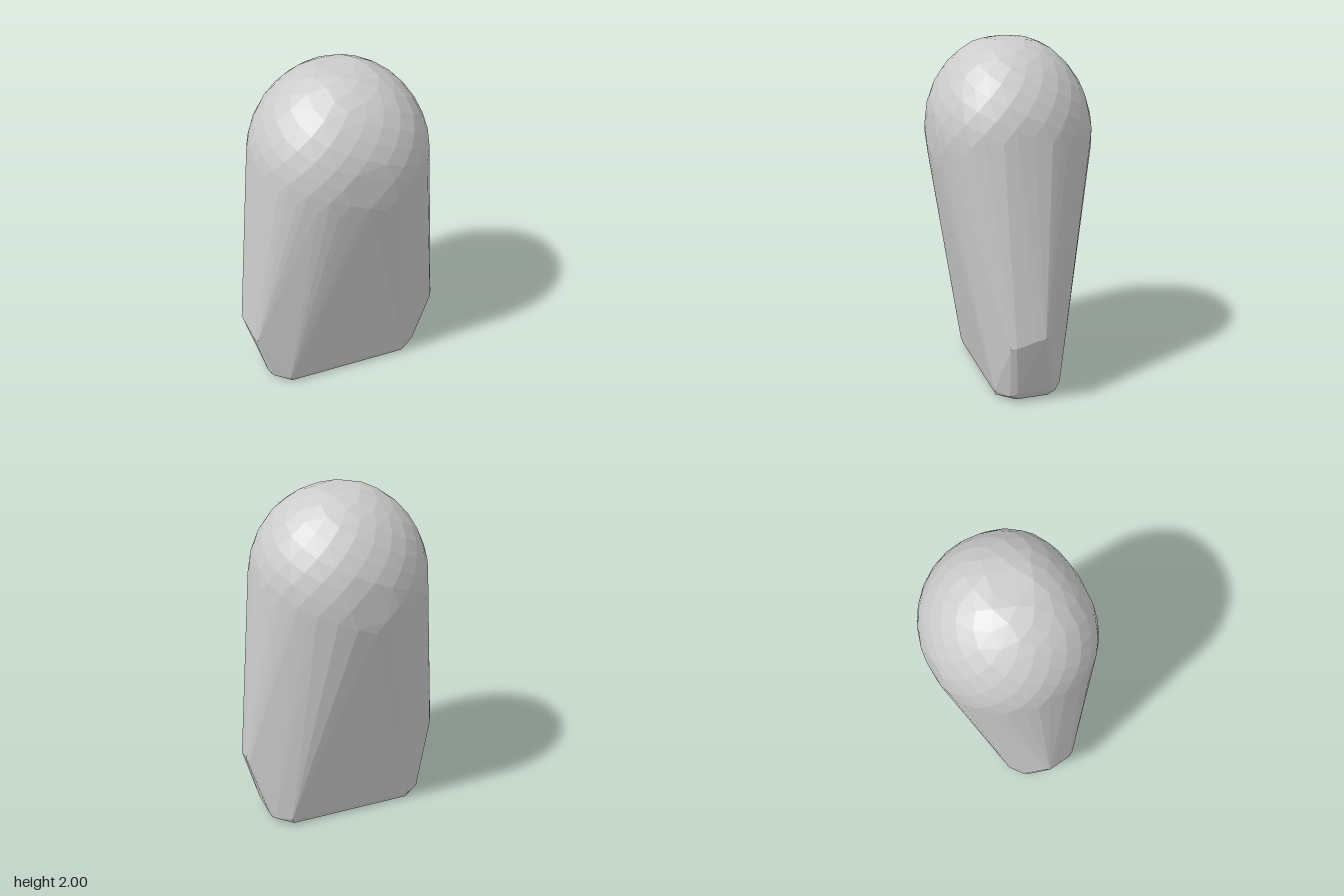
import * as THREE from 'three';
import { ConvexGeometry } from 'three/addons/geometries/ConvexGeometry.js';

// Faceted dome: points spiralled over an ellipsoid, flattened slightly at its extremes
function domePoints(count) {
  const points = [];
  const golden = Math.PI * (3 - Math.sqrt(5));
  const clamp = THREE.MathUtils.clamp;
  for (let i = 0; i < count; i++) {
    const h = 1 - (2 * (i + 0.5)) / count;
    if (h < -0.35) break;
    const r = Math.sqrt(1 - h * h);
    const a = i * golden;
    // soften the plan from an ellipse towards a fuller outline at the front
    const full = Math.sin(a) > 0 ? 1 + 0.05 * Math.sin(2 * a) ** 2 : 1;
    points.push(new THREE.Vector3(
      clamp(0.51 * r * full * Math.cos(a), -0.5, 0.5),
      Math.min(1.47 + 0.55 * h, 2),
      clamp(0.47 * r * full * Math.sin(a) + 0.01 * h, -0.455, 0.455)
    ));
  }
  return points;
}

// Wide hips and bevelled base, given for one side and mirrored across x
function lowerPoints() {
  const half = [
    // hip corner
    [0.605, 0.43, -0.03], [0.59, 0.43, -0.055], [0.6, 0.42, 0.02],
    [0.583, 0.38, 0.13], [0.565, 0.375, 0.16],
    // upper edge of the base bevel
    [0.495, 0.06, 0.1], [0.495, 0.06, -0.1], [0.47, 0.04, 0.135], [0.47, 0.04, -0.135],
    [0.385, 0.045, 0.2], [0.385, 0.045, -0.195],
    // underside
    [0.475, 0.02, 0.09], [0.475, 0.02, -0.09], [0.44, 0, 0.09], [0.44, 0, -0.09],
    [0.37, 0.012, 0.19], [0.37, 0.012, -0.187], [0.36, 0, 0.165], [0.36, 0, -0.165]
  ];
  return half.flatMap(([x, y, z]) => [new THREE.Vector3(x, y, z), new THREE.Vector3(-x, y, z)]);
}

export function createModel() {
  const group = new THREE.Group();
  group.name = 'domedBlock';
  const material = new THREE.MeshStandardMaterial({ color: 0xcccccc, flatShading: true });
  // One convex skin stretched over dome, hips and base
  const body = new THREE.Mesh(new ConvexGeometry([...domePoints(330), ...lowerPoints()]), material);
  body.name = 'body';
  group.add(body);
  return group;
}
